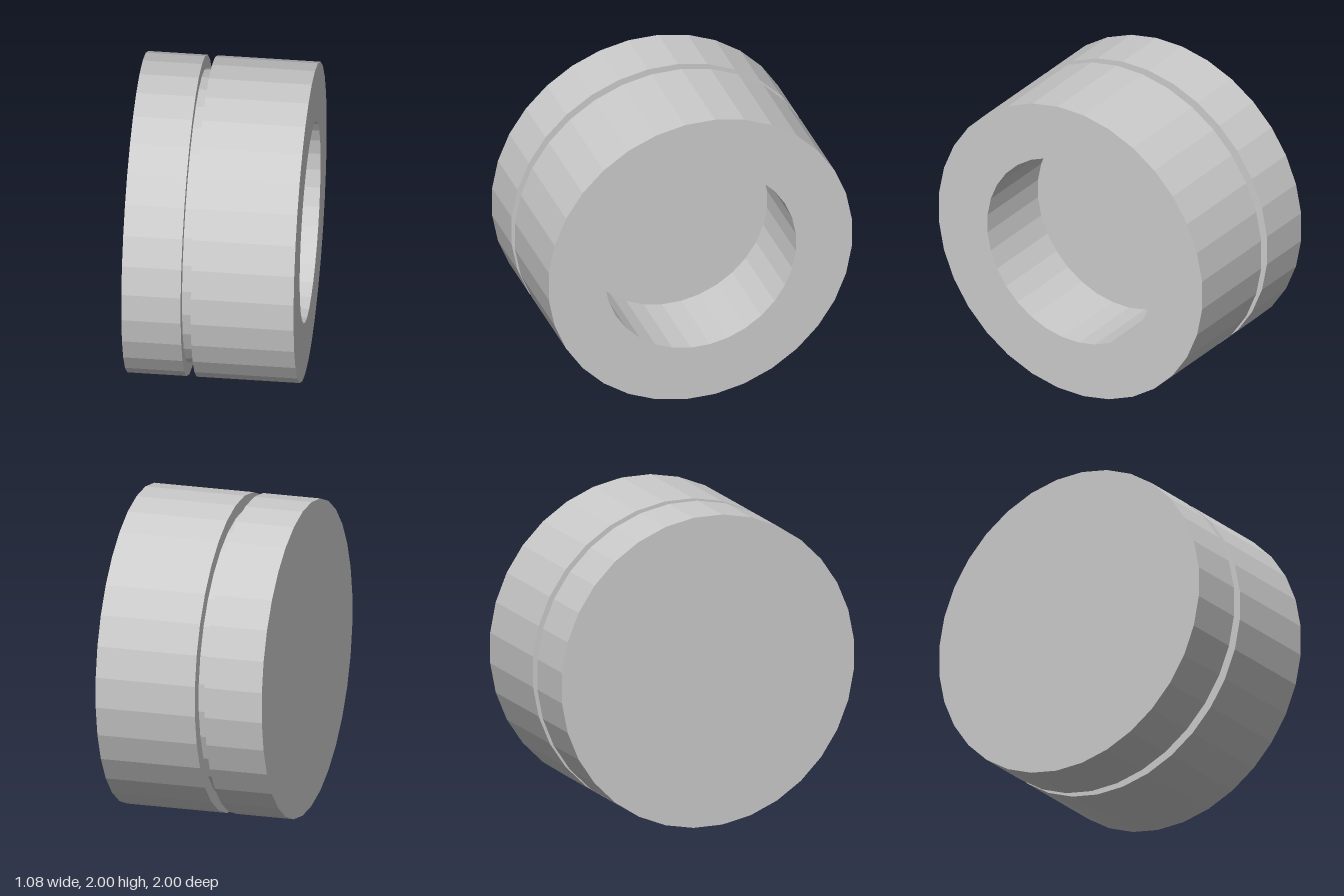
import * as THREE from 'three';

const SIDES = 32;
const HALF_STEP = Math.PI / SIDES;

// Faceted solid of revolution about the x axis; the profile is [x, flat-to-centre radius].
function turned(name, profile, material) {
  const points = profile.map(([x, r]) => new THREE.Vector2(r / Math.cos(HALF_STEP), x));
  const geometry = new THREE.LatheGeometry(points, SIDES, HALF_STEP).toNonIndexed();
  geometry.rotateZ(-Math.PI / 2);
  geometry.computeVertexNormals();
  const mesh = new THREE.Mesh(geometry, material);
  mesh.name = name;
  return mesh;
}

export function createModel() {
  const group = new THREE.Group();
  group.name = 'groovedCup';
  const material = new THREE.MeshStandardMaterial({ color: 0xcccccc, flatShading: true });

  const end = 0.54, outer = 1, bore = 0.63, floor = -0.01;
  const grooveLeft = -0.105, grooveRight = -0.168, grooveRadius = 0.915;

  const body = turned('groovedBody', [
    // closed end and short outer wall
    [-end, 0], [-end, outer], [grooveRight, outer],
    // narrow groove
    [grooveRight, grooveRadius], [grooveLeft, grooveRadius], [grooveLeft, outer],
    // long outer wall, open rim and blind bore
    [end, outer], [end, bore], [floor, bore], [floor, 0],
  ], material);
  body.position.y = 1;
  group.add(body);
  return group;
}
